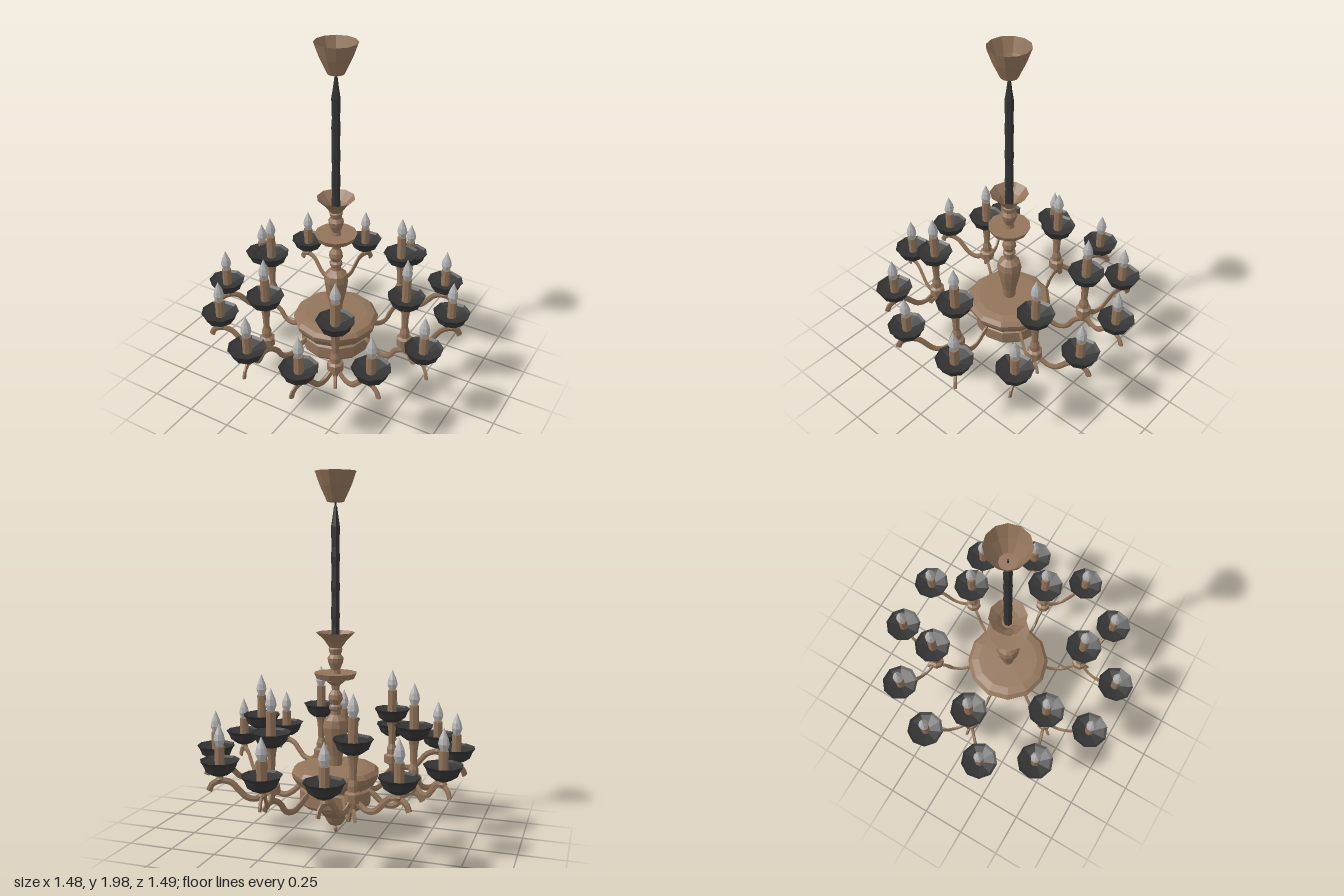
import * as THREE from 'three';

const flat = (name, color) => {
  const m = new THREE.MeshStandardMaterial({ color, flatShading: true, side: THREE.DoubleSide });
  m.name = name;
  return m;
};

export function createModel() {
  const bronze = flat('bronze', 0x92745a);
  const iron = flat('dark iron', 0x343434);
  const glass = flat('frosted glass', 0xb4b4b4);

  const root = new THREE.Group();
  root.name = 'chandelier';

  const add = (parent, name, geometry, material) => {
    const mesh = new THREE.Mesh(geometry, material);
    mesh.name = name;
    parent.add(mesh);
    return mesh;
  };
  // Profile points are [radius, height], from bottom to top
  const turned = (points, sides) =>
    new THREE.LatheGeometry(points.map(([r, y]) => new THREE.Vector2(r, y)), sides);
  // Curled arm in the xy plane, deeper than it is wide
  const ribbon = (points) => {
    const curve = new THREE.CatmullRomCurve3(points.map(([x, y]) => new THREE.Vector3(x, y, 0)));
    return new THREE.TubeGeometry(curve, 22, 0.018, 6).scale(1, 1, 0.5);
  };

  // Bottom finial, cone and the two-tier bowl
  add(root, 'finial', turned([[0, 0.02], [0.007, 0.03], [0.012, 0.05], [0.005, 0.06], [0.01, 0.075]], 8), bronze);
  add(root, 'lowerCone', turned([
    [0, 0.07], [0.035, 0.075], [0.05, 0.095], [0.065, 0.125], [0.11, 0.165], [0.125, 0.2], [0, 0.2],
  ], 12), bronze);
  add(root, 'lowerBand', turned([
    [0, 0.195], [0.19, 0.2], [0.2, 0.215], [0.2, 0.285], [0.185, 0.295], [0.185, 0.31],
  ], 12), bronze);
  add(root, 'bowl', turned([
    [0.185, 0.3], [0.215, 0.315], [0.24, 0.355], [0.245, 0.38], [0.225, 0.402], [0.18, 0.412], [0, 0.415],
  ], 12), bronze);

  // Turned column with its dish and flared top cup
  add(root, 'column', turned([
    [0.035, 0.41], [0.04, 0.47], [0.06, 0.56], [0.07, 0.63], [0.062, 0.67], [0.03, 0.7], [0.028, 0.72],
    [0.036, 0.73], [0.036, 0.745], [0.026, 0.755], [0.04, 0.785], [0.036, 0.81], [0.02, 0.835], [0.024, 0.86],
    [0.055, 0.885], [0.06, 0.9],
  ], 10), bronze);
  add(root, 'columnDish', turned([
    [0.05, 0.893], [0.105, 0.9], [0.118, 0.93], [0.11, 0.93], [0.03, 0.925],
  ], 12), bronze);
  add(root, 'upperColumn', turned([
    [0.03, 0.92], [0.024, 0.945], [0.04, 0.985], [0.044, 1.01], [0.03, 1.03], [0.038, 1.06], [0.03, 1.07],
  ], 10), bronze);
  add(root, 'topCup', turned([[0, 1.065], [0.035, 1.068], [0.06, 1.105], [0.105, 1.15]], 10), bronze);

  // Sleeved chain, slightly uneven along its length
  const sleeve = [];
  for (let i = 0; i <= 14; i++) {
    const taper = i === 14 ? 0.35 : i === 13 ? 0.75 : 1;
    sleeve.push([(0.023 + 0.002 * Math.sin(i * 2.3)) * taper, 1.07 + (0.75 * i) / 14]);
  }
  add(root, 'chainSleeve', turned(sleeve, 7), iron);
  add(root, 'chainLink', new THREE.CylinderGeometry(0.006, 0.006, 0.06, 6).translate(0, 1.83, 0), iron);

  // Ceiling canopy, open at the top
  add(root, 'canopy', turned([[0, 1.84], [0.045, 1.84], [0.085, 1.925], [0.112, 2]], 12), bronze);

  // Light: shallow dish, candle and flame bulb, standing on y = 0
  const dishGeo = turned([[0, 0], [0.045, 0.002], [0.078, 0.025], [0.092, 0.06], [0.105, 0.078], [0.09, 0.068], [0, 0.04]], 9);
  const makeLight = (candleTop) => {
    const g = new THREE.Group();
    g.name = 'light';
    add(g, 'dish', dishGeo, iron);
    add(g, 'candle', new THREE.CylinderGeometry(0.026, 0.026, candleTop - 0.03, 8)
      .translate(0, (candleTop + 0.03) / 2, 0), bronze);
    add(g, 'bulb', turned([
      [0.012, 0], [0.02, 0.015], [0.03, 0.045], [0.024, 0.075], [0.011, 0.105], [0, 0.132],
    ], 8).translate(0, candleTop - 0.01, 0), glass);
    return g;
  };

  const lowerArm = ribbon([
    [0.17, 0.28], [0.21, 0.275], [0.25, 0.24], [0.3, 0.213], [0.35, 0.225],
    [0.385, 0.275], [0.43, 0.3], [0.47, 0.288], [0.492, 0.255],
  ]);
  const forkArm = ribbon([
    [0, 0.37], [0.03, 0.345], [0.08, 0.315], [0.13, 0.322], [0.17, 0.36],
    [0.21, 0.4], [0.265, 0.41], [0.31, 0.39], [0.326, 0.355],
  ]);
  const post = turned([
    [0, 0.295], [0.014, 0.3], [0.018, 0.335], [0.044, 0.345], [0.044, 0.39], [0.028, 0.4], [0.028, 0.43],
    [0.018, 0.46], [0.021, 0.53], [0.026, 0.57], [0.034, 0.6],
  ], 8);
  const stem = turned([[0.014, 0.405], [0.022, 0.418], [0.016, 0.43], [0.036, 0.446]], 8);

  // Six branches, each with one raised light and a fork to two lower ones
  const postR = 0.44, outerR = 0.662, spread = THREE.MathUtils.degToRad(16);
  for (let i = 0; i < 6; i++) {
    const branch = new THREE.Group();
    branch.name = 'branch';
    branch.rotation.y = (i * Math.PI) / 3;
    root.add(branch);

    add(branch, 'lowerArm', lowerArm, bronze);
    add(branch, 'post', post, bronze).position.x = postR;
    const high = makeLight(0.185);
    high.position.set(postR, 0.592, 0);
    branch.add(high);

    for (const side of [-1, 1]) {
      const x = outerR * Math.cos(spread), z = side * outerR * Math.sin(spread);
      const arm = add(branch, 'forkArm', forkArm, bronze);
      arm.position.x = postR;
      arm.rotation.y = -Math.atan2(z, x - postR);
      add(branch, 'stem', stem, bronze).position.set(x, 0, z);
      const low = makeLight(0.15);
      low.position.set(x, 0.442, z);
      branch.add(low);
    }
  }
  return root;
}
